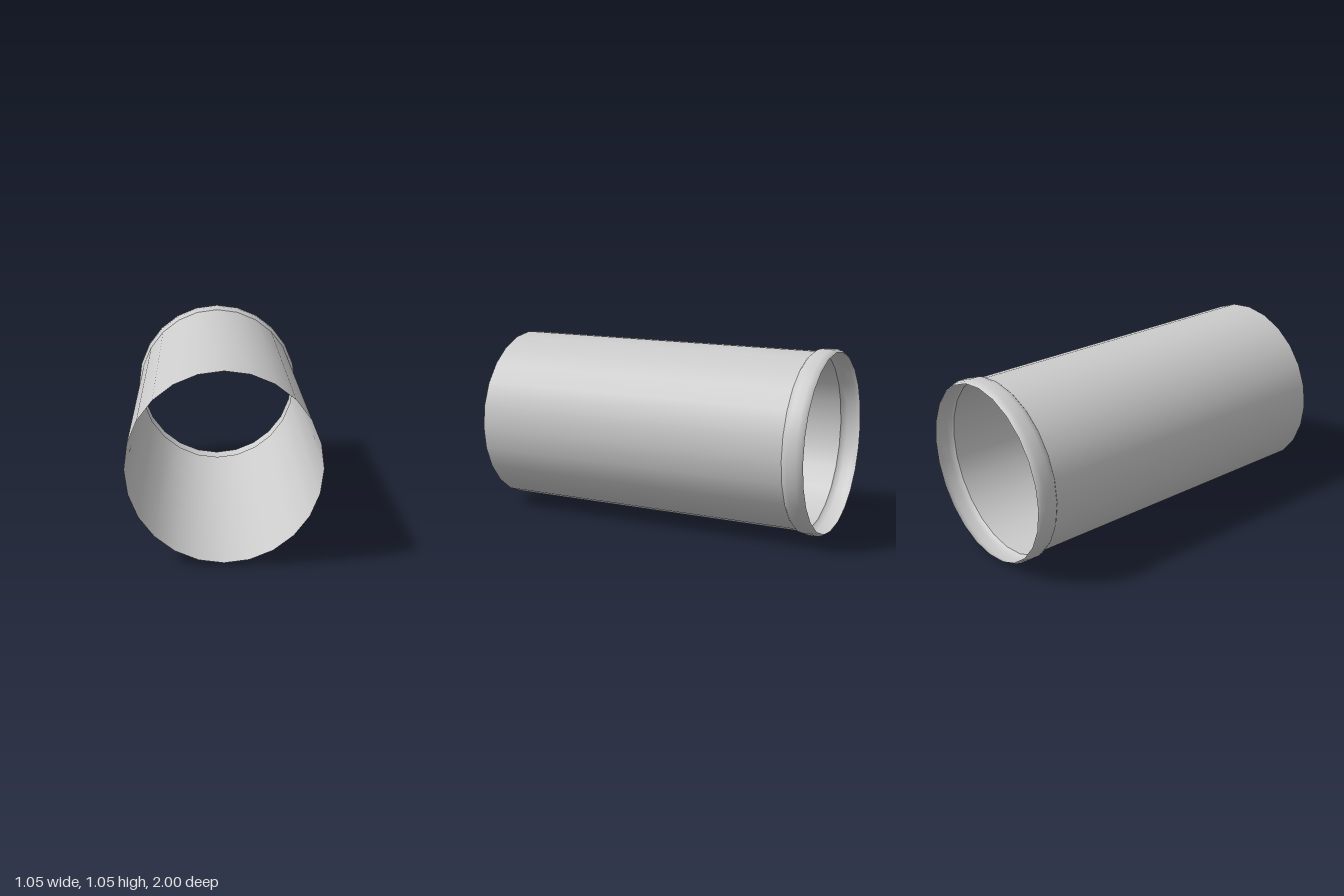
import * as THREE from 'three';

const SIDES = 24;
const CENTRE_Y = 0.527;

// Open ring surface turned around the z axis from [radius, z] pairs, z increasing
function turned(name, profile, material) {
  const points = profile.map(([r, z]) => new THREE.Vector2(r, z));
  const geometry = new THREE.LatheGeometry(points, SIDES);
  geometry.rotateX(Math.PI / 2);
  const mesh = new THREE.Mesh(geometry, material);
  mesh.name = name;
  mesh.position.y = CENTRE_Y;
  return mesh;
}

export function createModel() {
  const group = new THREE.Group();
  group.name = 'openPipe';
  const material = new THREE.MeshStandardMaterial({ color: 0xcccccc, side: THREE.DoubleSide });

  // Thin straight wall, open at the front
  group.add(turned('pipeWall', [[0.51, -0.88], [0.51, 1]], material));

  // Rounded, hollow bead around the open back end
  group.add(turned('rimBead', [
    [0.51, -1], [0.52, -0.99], [0.527, -0.965],
    [0.527, -0.915], [0.52, -0.89], [0.51, -0.88],
  ], material));

  return group;
}
